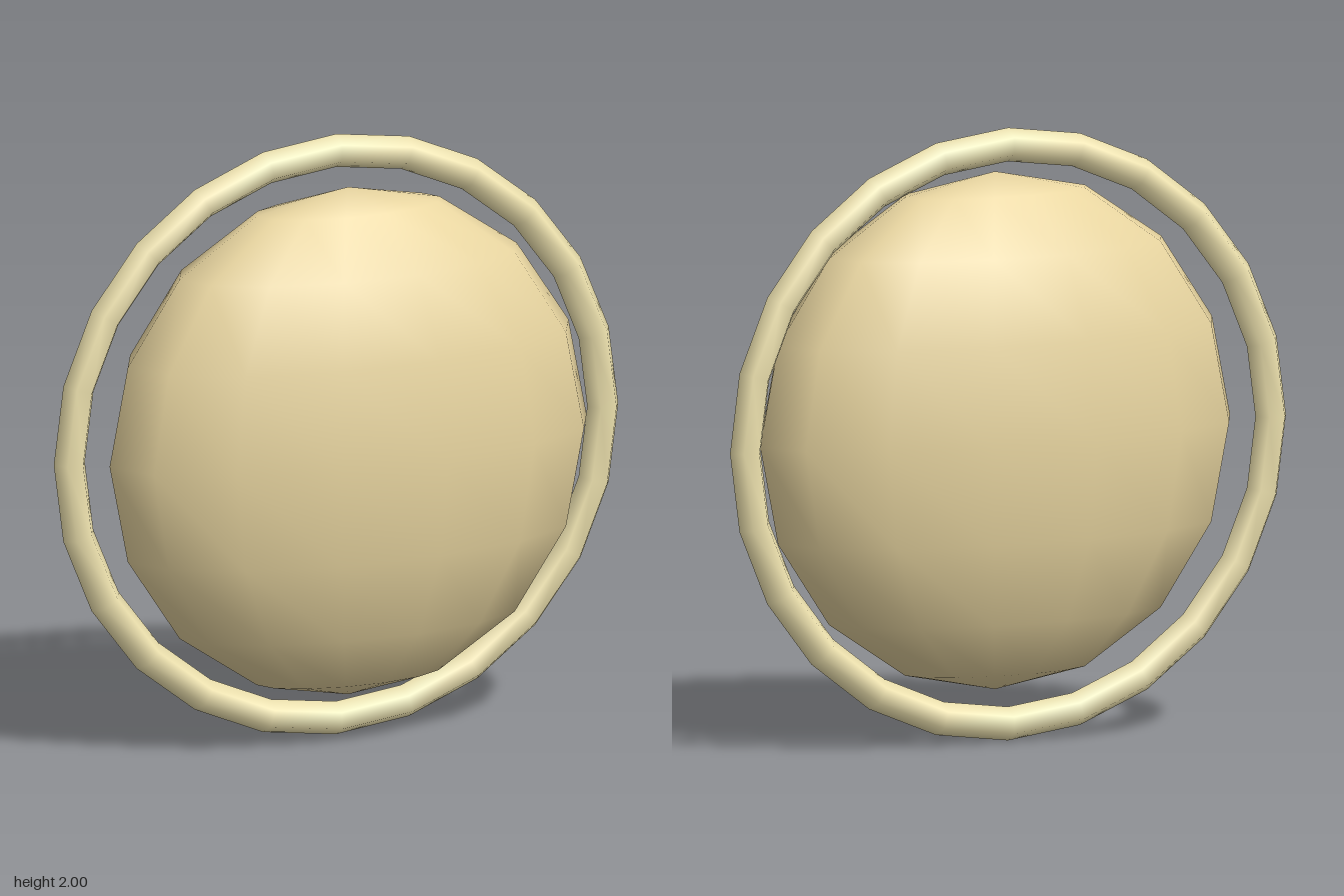
import * as THREE from 'three';

export function createModel() {
  const model = new THREE.Group();

  // Flattened low-sided ball with its poles at top and bottom
  const bodyGeometry = new THREE.SphereGeometry(0.845, 14, 8);
  bodyGeometry.scale(1, 1, 0.38 / 0.845);
  const body = new THREE.Mesh(bodyGeometry, new THREE.MeshStandardMaterial({ color: 0xe8d5a0 }));
  body.name = 'flattenedBody';
  body.position.y = 1;

  // Thin six-sided ring set slightly behind the middle of the body
  const ring = new THREE.Mesh(
    new THREE.TorusGeometry(0.945, 0.055, 6, 24),
    new THREE.MeshStandardMaterial({ color: 0xf0e4b0 })
  );
  ring.name = 'ring';
  ring.position.set(0, 1, -0.095);

  model.add(body, ring);
  return model;
}
